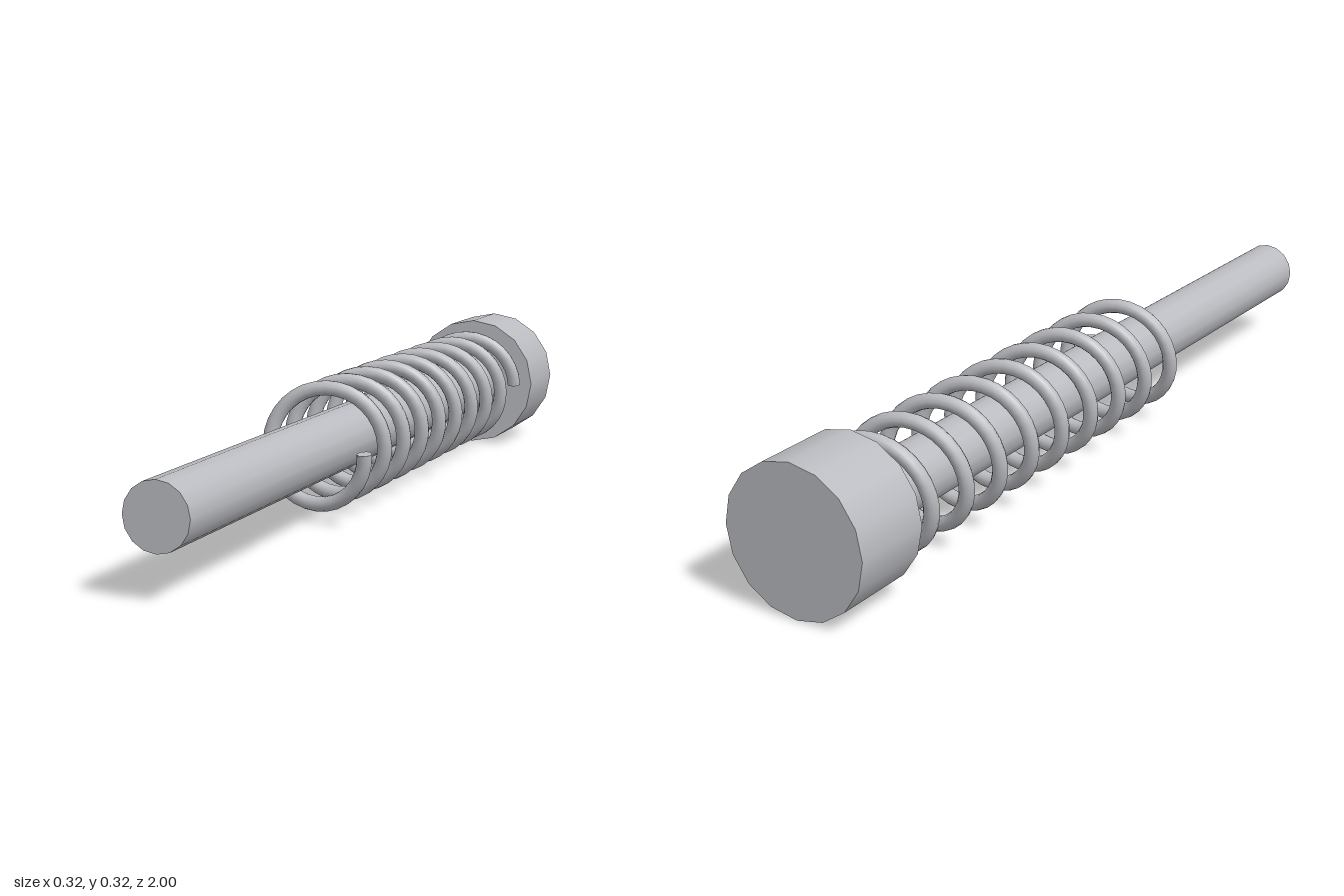
import * as THREE from 'three';

const AXIS_Y = 0.162; // height of the shared centre line

// Helix around the z axis, running from the head towards the front
class Helix extends THREE.Curve {
  constructor(radius, zStart, zEnd, turns) {
    super();
    Object.assign(this, { radius, zStart, zEnd, turns });
  }
  getPoint(t, target = new THREE.Vector3()) {
    const a = t * this.turns * Math.PI * 2;
    return target.set(
      this.radius * Math.cos(a),
      this.radius * Math.sin(a),
      THREE.MathUtils.lerp(this.zStart, this.zEnd, t)
    );
  }
}

export function createModel() {
  const model = new THREE.Group();
  model.name = 'springPlunger';
  const steel = new THREE.MeshStandardMaterial({ color: 0xbbbcc1 });
  steel.name = 'steel grey';

  function add(parent, name, geometry) {
    const mesh = new THREE.Mesh(geometry, steel);
    mesh.name = name;
    parent.add(mesh);
    return mesh;
  }

  // Sixteen-sided cylinder lying along z
  function zCylinder(name, radius, z0, z1) {
    const geometry = new THREE.CylinderGeometry(radius, radius, z1 - z0, 16);
    geometry.rotateX(Math.PI / 2);
    add(model, name, geometry).position.set(0, AXIS_Y, (z0 + z1) / 2);
  }

  zCylinder('head', 0.162, -1, -0.815);
  zCylinder('rod', 0.069, -0.815, 1);

  // Coil spring with closed wire ends
  const spring = new THREE.Group();
  spring.name = 'spring';
  spring.position.y = AXIS_Y;
  model.add(spring);
  const wire = 0.0165;
  const helix = new Helix(0.1225, -0.79, 0.29, 9);
  add(spring, 'springCoil', new THREE.TubeGeometry(helix, 9 * 32, wire, 12, false));
  for (const t of [0, 1]) {
    const cap = add(spring, t ? 'springFrontEnd' : 'springBackEnd', new THREE.CircleGeometry(wire, 12));
    const outward = helix.getTangent(t).multiplyScalar(t ? 1 : -1);
    cap.position.copy(helix.getPoint(t));
    cap.quaternion.setFromUnitVectors(new THREE.Vector3(0, 0, 1), outward);
  }

  return model;
}
